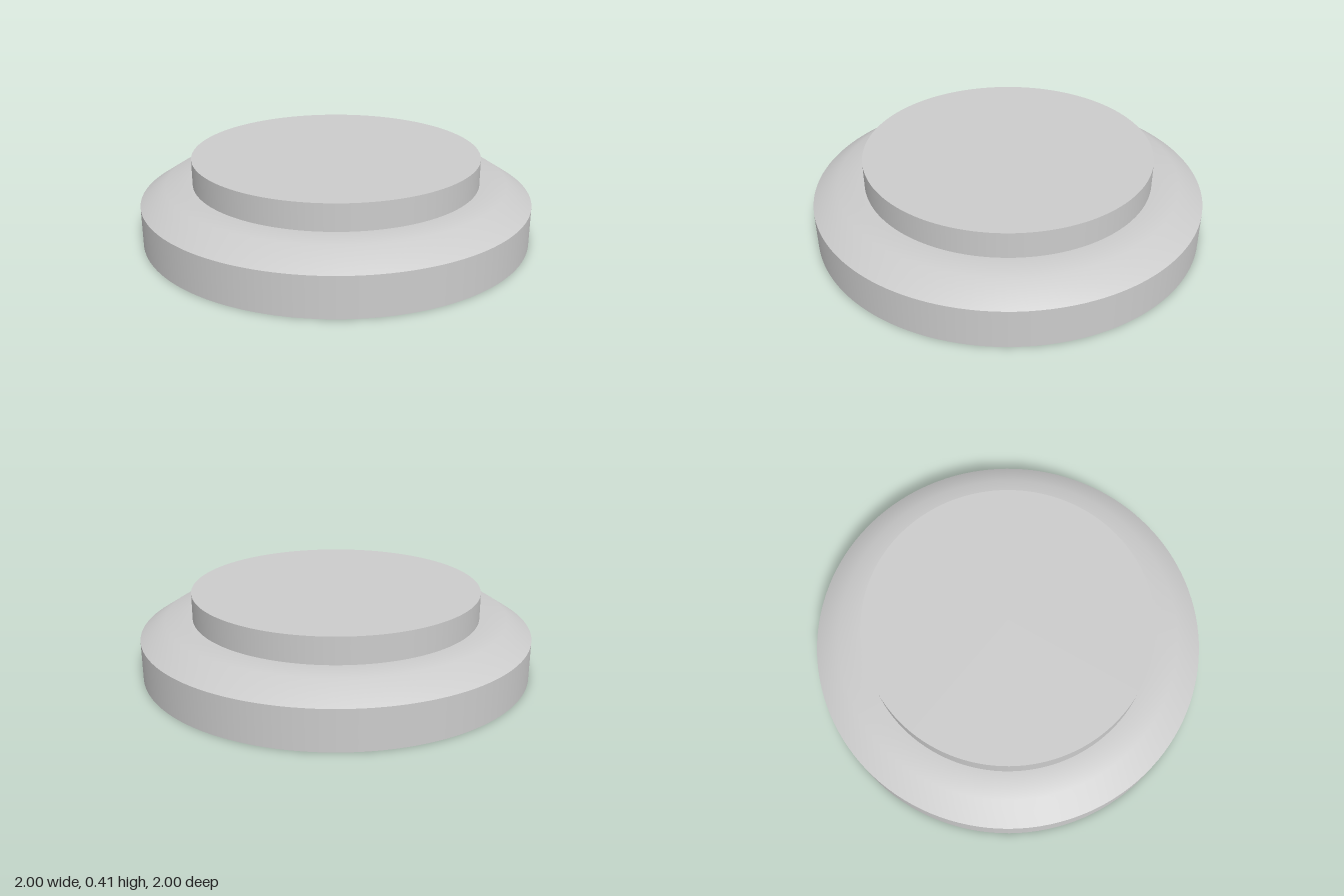
import * as THREE from 'three';

const SEGMENTS = 128;
const material = new THREE.MeshStandardMaterial({ color: 0xcccccc });

// Revolve a [radius, height] profile; shading is smooth within one profile
// and creased where two profiles meet.
function revolve(name, profile) {
  const points = profile.map(([r, y]) => new THREE.Vector2(r, y));
  const mesh = new THREE.Mesh(new THREE.LatheGeometry(points, SEGMENTS), material);
  mesh.name = name;
  return mesh;
}

export function createModel() {
  const baseR = 1, discR = 0.737;
  const rimY = 0.2, ledgeY = 0.282, topY = 0.415;

  // Wide base with a sloping shoulder
  const base = new THREE.Group();
  base.name = 'base';
  base.add(
    revolve('underside', [[0, 0], [baseR, 0]]),
    revolve('baseWall', [[baseR, 0], [baseR, rimY]]),
    revolve('shoulder', [[baseR, rimY], [0.873, ledgeY], [discR, ledgeY]]),
  );

  // Raised disc on top
  const disc = new THREE.Group();
  disc.name = 'raisedDisc';
  disc.add(
    revolve('discWall', [[discR, ledgeY], [discR, topY]]),
    revolve('discTop', [[discR, topY], [0, topY]]),
  );

  const model = new THREE.Group();
  model.name = 'steppedRoundBase';
  model.add(base, disc);
  return model;
}
